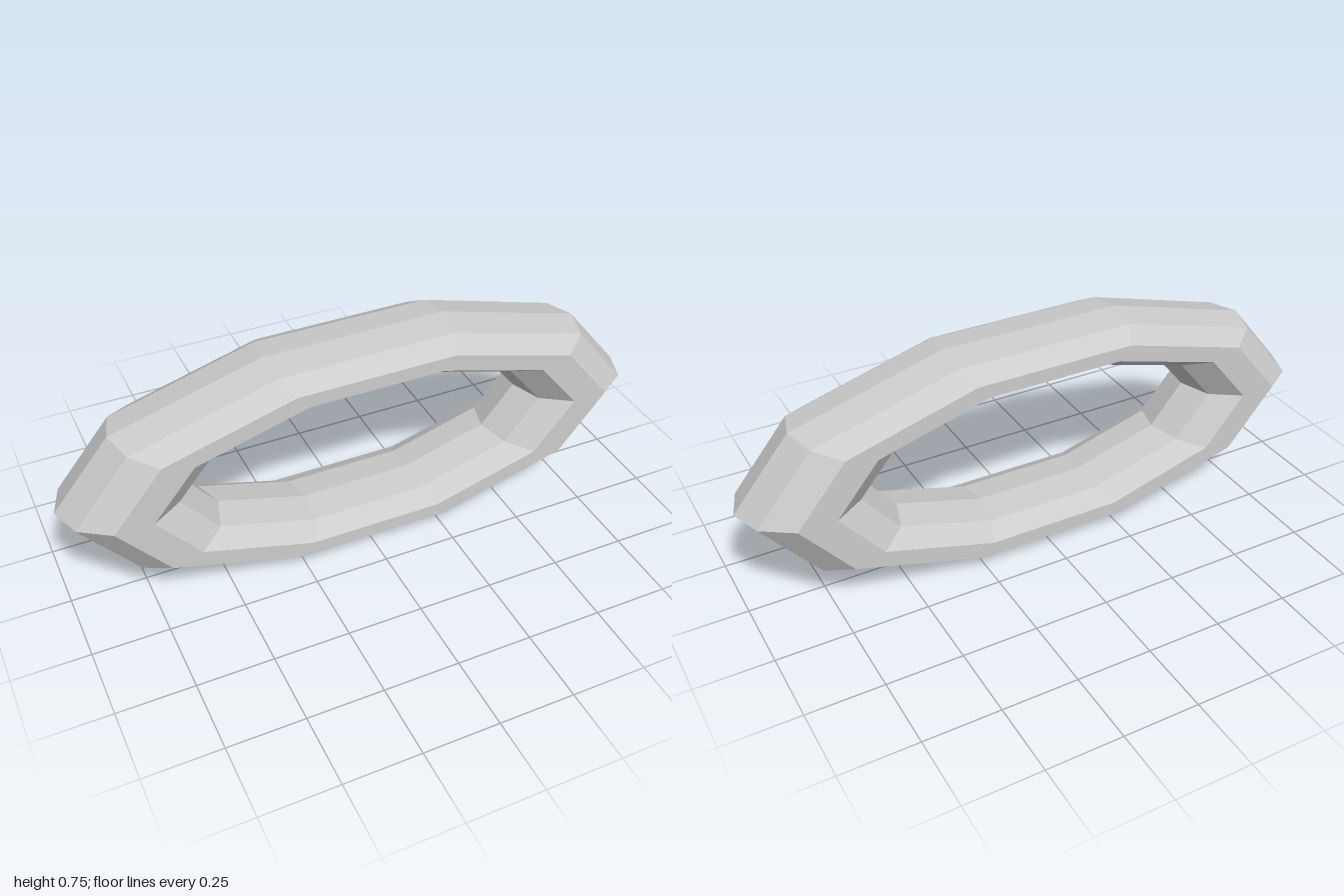
import * as THREE from 'three';

export function createModel() {
  const group = new THREE.Group();
  group.name = 'ovalRing';

  // Ten-sided ring with a ten-sided cross-section, squashed into an oval
  const halfHeight = 0.3725;
  const geometry = new THREE.TorusGeometry(0.8, 0.2, 10, 10);
  geometry.scale(1, halfHeight / Math.sin(Math.PI * 0.4), 0.912);
  geometry.translate(0, halfHeight, 0);
  geometry.computeVertexNormals();

  const ring = new THREE.Mesh(
    geometry,
    new THREE.MeshStandardMaterial({ color: 0xcccccc, flatShading: true })
  );
  ring.name = 'ring';
  group.add(ring);
  return group;
}
